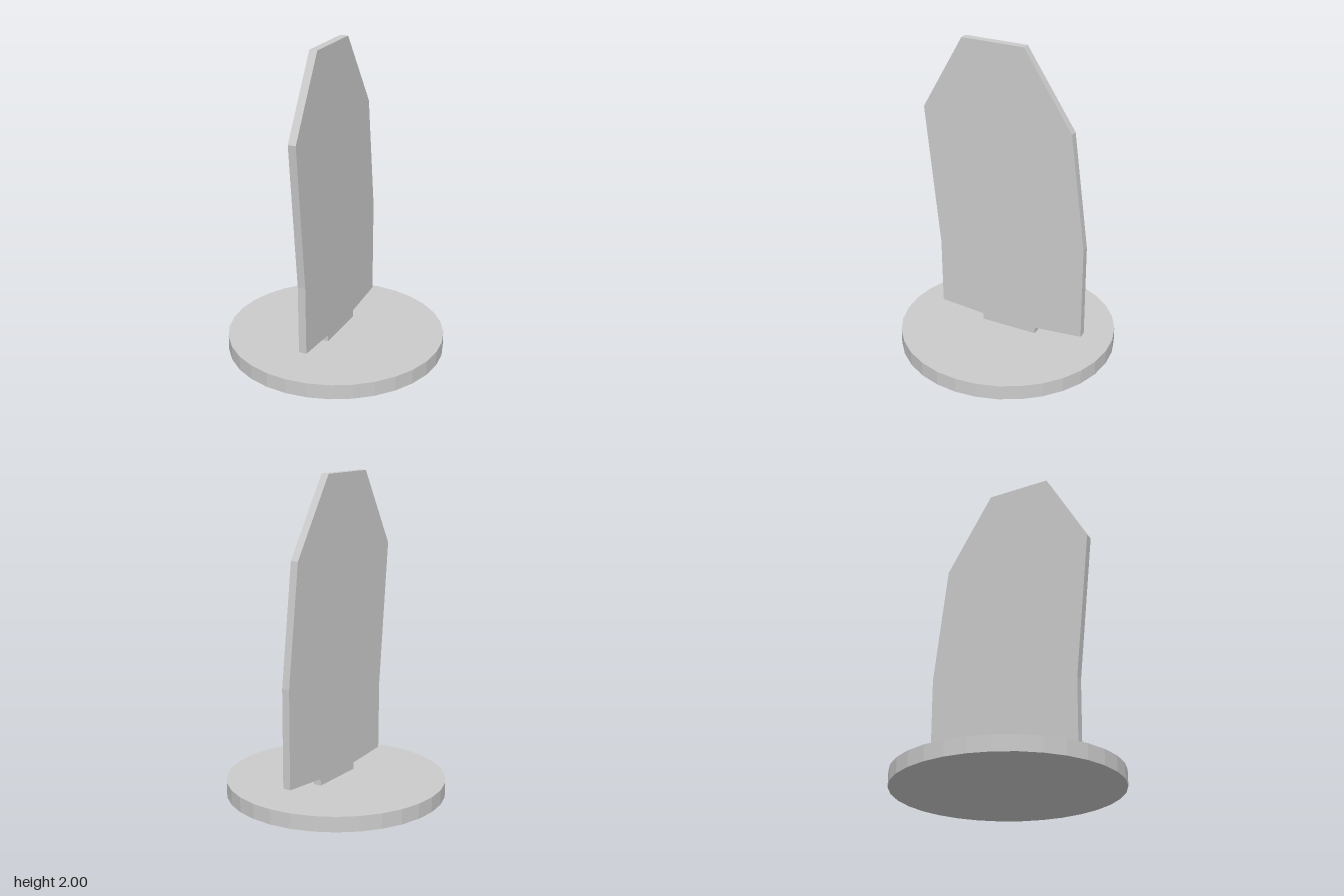
import * as THREE from 'three';

export function createModel() {
  const model = new THREE.Group();
  const material = new THREE.MeshStandardMaterial({ color: 0xcccccc, flatShading: true });
  const baseHeight = 0.095;
  const thickness = 0.05;

  // Round 32-sided base
  const baseGeometry = new THREE.CylinderGeometry(0.692, 0.692, baseHeight, 32);
  baseGeometry.translate(0, baseHeight / 2, 0);
  const base = new THREE.Mesh(baseGeometry, material);
  base.name = 'base';
  model.add(base);

  // Upright panel outline as (z, y), with a narrow foot tab standing on the base
  const outline = [
    [0.168, baseHeight], [0.168, 0.138], [0.47, 0.16], [0.475, 0.6], [0.57, 1.52], [0.295, 2],
    [-0.115, 2], [-0.43, 1.52], [-0.527, 0.78], [-0.527, 0.165], [-0.207, 0.138], [-0.207, baseHeight],
  ].map(([z, y]) => new THREE.Vector2(z, y));
  const panelGeometry = new THREE.ExtrudeGeometry(new THREE.Shape(outline), {
    depth: thickness, bevelEnabled: false,
  });
  panelGeometry.translate(0, 0, -thickness / 2);
  panelGeometry.rotateY(-Math.PI / 2); // outline runs along z
  const panel = new THREE.Mesh(panelGeometry, material);
  panel.name = 'uprightPanel';
  model.add(panel);

  return model;
}
